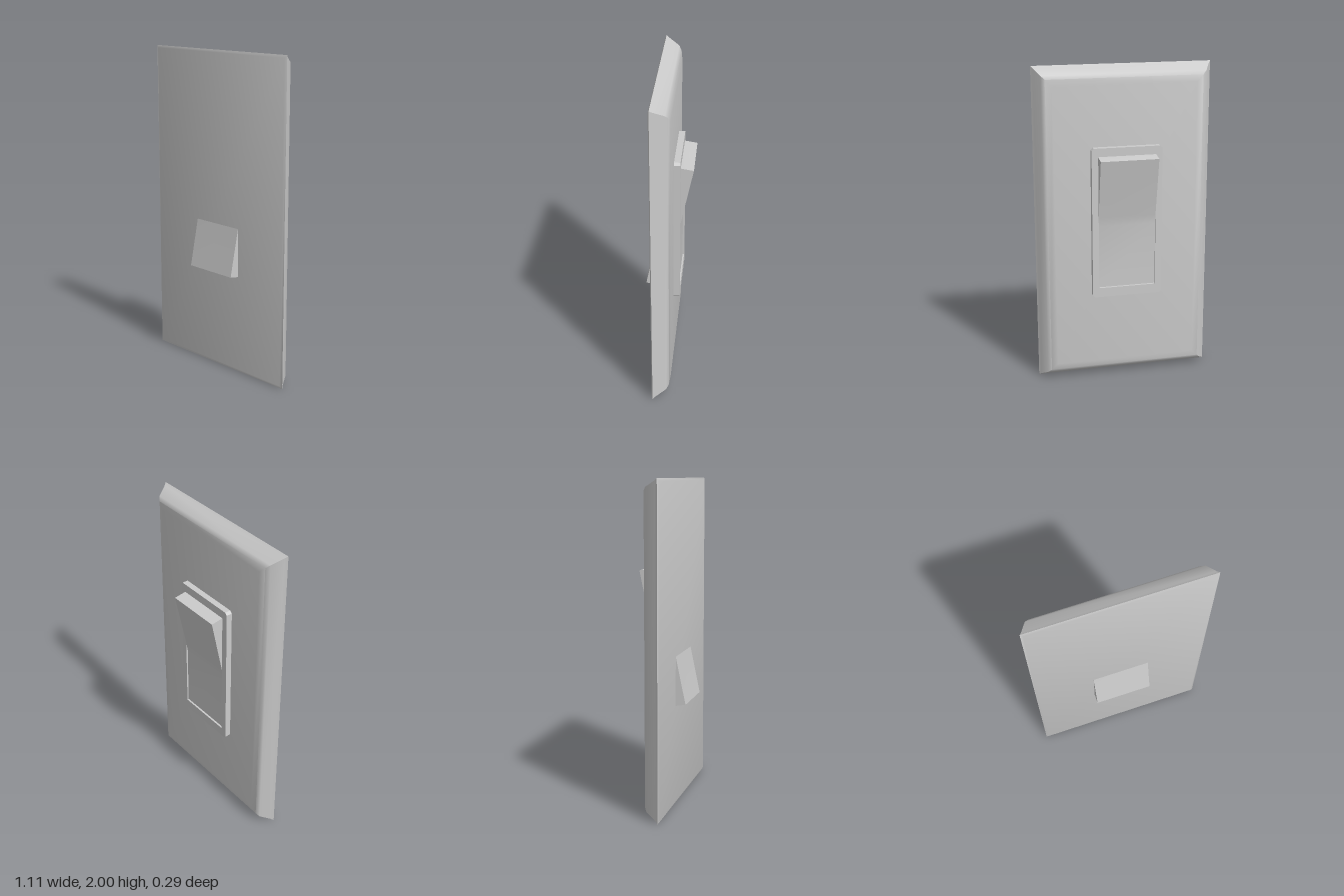
import * as THREE from 'three';
import { toCreasedNormals } from 'three/addons/utils/BufferGeometryUtils.js';

const material = new THREE.MeshStandardMaterial({ color: 0xcccccc });

function addPart(group, name, geometry, crease) {
  const mesh = new THREE.Mesh(toCreasedNormals(geometry, crease), material);
  mesh.name = name;
  group.add(mesh);
  return mesh;
}

// Rectangle rings stacked along z (front to back), each given as [z, inset], capped at both ends
function stackedRectangles(halfW, halfH, rings) {
  const positions = [], index = [];
  for (const [z, inset] of rings) {
    const w = halfW - inset, h = halfH - inset;
    positions.push(-w, -h, z, w, -h, z, w, h, z, -w, h, z);
  }
  const quad = (a, b, c, d) => index.push(a, b, c, a, c, d);
  for (let r = 0; r < rings.length - 1; r++) {
    for (let i = 0; i < 4; i++) {
      const j = (i + 1) % 4, a = r * 4, b = a + 4;
      quad(a + i, b + i, b + j, a + j);
    }
  }
  const last = (rings.length - 1) * 4;
  quad(0, 1, 2, 3);
  quad(last + 3, last + 2, last + 1, last);
  const geometry = new THREE.BufferGeometry();
  geometry.setAttribute('position', new THREE.Float32BufferAttribute(positions, 3));
  geometry.setIndex(index);
  return geometry;
}

function chamferedRectangle(w, y0, y1, c) {
  return new THREE.Shape([
    [-w + c, y0], [w - c, y0], [w, y0 + c], [w, y1 - c],
    [w - c, y1], [-w + c, y1], [-w, y1 - c], [-w, y0 + c],
  ].map(([x, y]) => new THREE.Vector2(x, y)));
}

export function createModel() {
  const group = new THREE.Group();
  group.name = 'wallSwitch';

  // Wall plate: flat at the front, softly bevelled towards the back
  const plate = stackedRectangles(0.555, 1, [
    [0.083, 0.016], [0.076, 0], [0.06, 0.012], [-0.006, 0.048],
    [-0.022, 0.07], [-0.03, 0.11],
  ]);
  const plateMesh = addPart(group, 'wallPlate', plate, 0.75);
  plateMesh.position.y = 1;

  // Raised frame with an opening for the rocker
  const frame = chamferedRectangle(0.22, 0.56, 1.515, 0.014);
  const opening = new THREE.Path([
    [-0.18, 0.62], [-0.18, 1.46], [0.18, 1.46], [0.18, 0.62],
  ].map(([x, y]) => new THREE.Vector2(x, y)));
  frame.holes.push(opening);
  const frameGeometry = new THREE.ExtrudeGeometry(frame, { depth: 0.042, bevelEnabled: false });
  frameGeometry.translate(0, 0, -0.068);
  addPart(group, 'switchFrame', frameGeometry, 0.5);

  // Rocker: half a profile in [-z, y - centre], repeated by a half turn
  const centreY = 1.0425;
  const half = [[0.058, -0.42], [0.058, -0.02], [0.068, 0.04], [0.145, 0.4075], [0.068, 0.42]];
  const profile = [...half, ...half.map(([a, b]) => [-a, -b])];
  const rockerShape = new THREE.Shape(profile.map(([a, b]) => new THREE.Vector2(a, b)));
  const rocker = new THREE.ExtrudeGeometry(rockerShape, { depth: 0.36, bevelEnabled: false });
  rocker.translate(0, 0, -0.18);
  rocker.rotateY(Math.PI / 2);
  const rockerMesh = addPart(group, 'rocker', rocker, 0.4);
  rockerMesh.position.y = centreY;

  return group;
}
